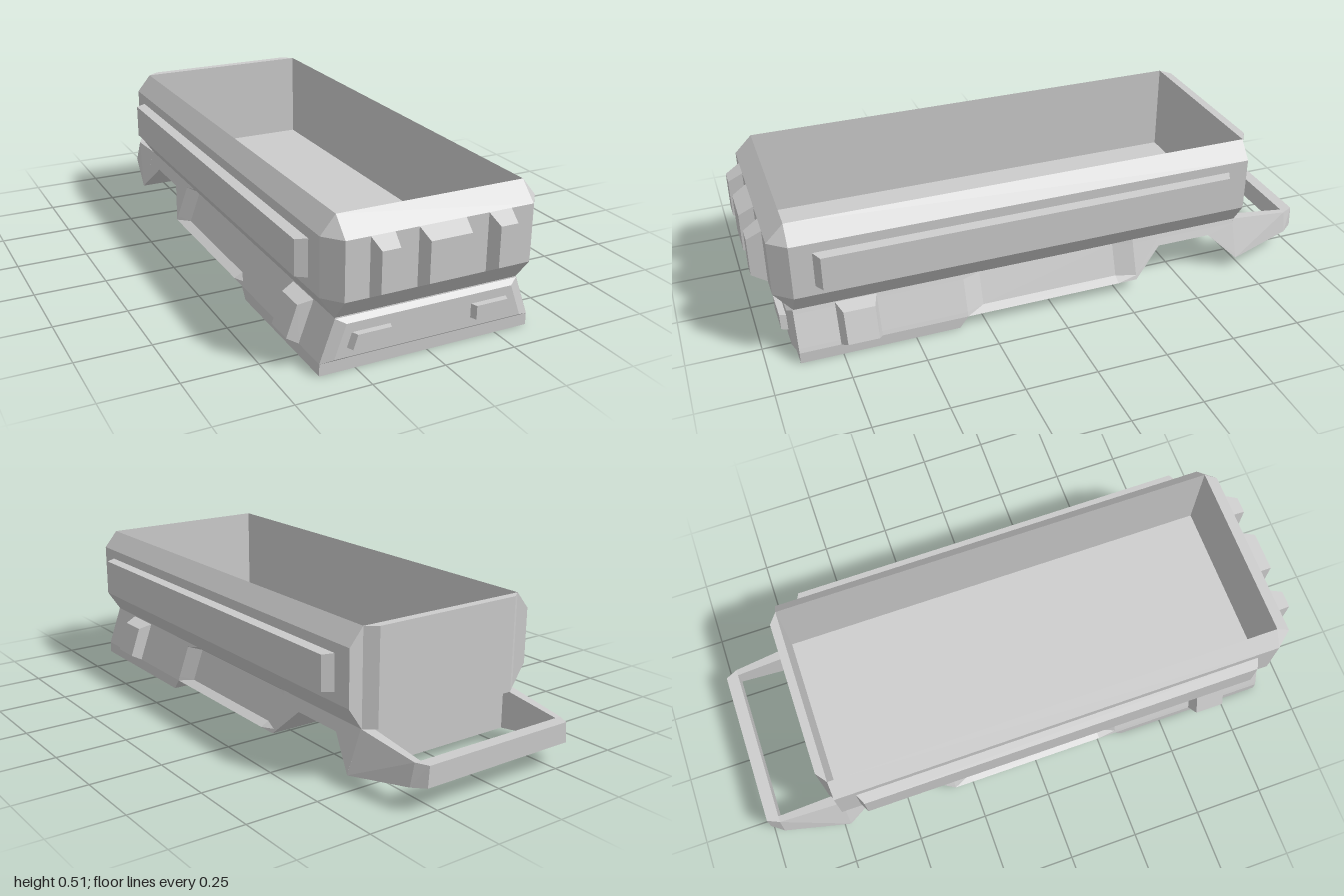
import * as THREE from 'three';

const material = new THREE.MeshStandardMaterial({ color: 0xcccccc, flatShading: true });

// Closed solid through a list of rings of [x, y, z] points, capped at both ends.
function loft(name, rings) {
  const tris = [];
  const n = rings[0].length;
  for (let r = 0; r < rings.length - 1; r++) {
    for (let i = 0; i < n; i++) {
      const j = (i + 1) % n;
      const a = rings[r][i], b = rings[r][j], c = rings[r + 1][j], d = rings[r + 1][i];
      tris.push([a, b, c], [a, c, d]);
    }
  }
  const first = rings[0], last = rings[rings.length - 1];
  for (let i = 1; i < n - 1; i++) {
    tris.push([first[0], first[i + 1], first[i]], [last[0], last[i], last[i + 1]]);
  }
  // Drop empty triangles and turn the solid outward by its signed volume
  let volume = 0;
  const kept = tris.map(t => t.map(p => new THREE.Vector3(...p))).filter(([a, b, c]) => {
    const cross = b.clone().sub(a).cross(c.clone().sub(a));
    volume += a.dot(cross);
    return cross.length() > 1e-7;
  });
  const points = kept.flatMap(([a, b, c]) => (volume > 0 ? [a, b, c] : [a, c, b]));
  const geometry = new THREE.BufferGeometry().setFromPoints(points);
  geometry.computeVertexNormals();
  const mesh = new THREE.Mesh(geometry, material);
  mesh.name = name;
  return mesh;
}

// Four corners facing the front (fixed z)
const frontRect = (x0, x1, y0, y1, z) => [[x0, y0, z], [x1, y0, z], [x1, y1, z], [x0, y1, z]];
// Four corners facing a side, x may differ at the lower and upper edge
const sideRect = (xLow, xHigh, y0, y1, z0, z1) =>
  [[xLow, y0, z0], [xLow, y0, z1], [xHigh, y1, z1], [xHigh, y1, z0]];

export function createModel() {
  const model = new THREE.Group();
  model.name = 'cargoBin';

  // Open bin: faceted outer walls, then straight down inside to the floor
  const binRing = (y, w, front) => [
    [w, y, -0.73], [w, y, 0.89], [0.32, y, front],
    [-0.32, y, front], [-w, y, 0.89], [-w, y, -0.73],
  ];
  model.add(loft('bin', [
    binRing(0.18, 0.32, 0.89),
    binRing(0.255, 0.37, 0.95),
    binRing(0.447, 0.37, 0.95),
    binRing(0.507, 0.32, 0.89),
    binRing(0.185, 0.32, 0.89),
  ]));

  // Tailgate with bevelled sides
  const gateRing = y => [[0.32, y, -0.73], [-0.32, y, -0.73], [-0.28, y, -0.76], [0.28, y, -0.76]];
  model.add(loft('tailgate', [gateRing(0.18), gateRing(0.507)]));

  // Raised blocks on the nose
  for (const [x, w] of [[-0.2, 0.04], [0, 0.08], [0.2, 0.04]]) {
    model.add(loft('noseBlock', [
      frontRect(x - w, x + w, 0.255, 0.447, 0.95),
      frontRect(x - w + 0.01, x + w - 0.01, 0.284, 0.418, 1),
    ]));
  }

  // Chassis: cross-sections along z as [z, underside height, side recess depth]
  const chassisRing = ([z, low, recess]) => {
    const half = [[0.37, 0], [0.37, 0.04], [0.365 - recess, 0.055], [0.325 - recess, 0.165], [0.32, 0.18]]
      .map(([x, y]) => {
        const cy = Math.max(y, low);
        const slope = 0.37 - Math.max(cy - 0.04, 0) * 0.357;
        return [cy > y ? slope : x, cy, z];
      });
    return [...half, ...half.map(([x, y]) => [-x, y, z]).reverse()];
  };
  model.add(loft('chassis', [
    [0.893, 0, 0], [0.345, 0, 0], [0.315, 0.04, 0], [0.25, 0.04, 0.025], [-0.25, 0.04, 0.025],
    [-0.32, 0.04, 0], [-0.42, 0.14, 0], [-0.62, 0.14, 0], [-0.725, 0.04, 0],
  ].map(chassisRing)));

  // Front plate
  model.add(loft('frontPlate', [
    [[-0.37, 0.04, 0.893], [0.37, 0.04, 0.893], [0.32, 0.178, 0.893], [-0.32, 0.178, 0.893]],
    [[-0.33, 0.053, 0.91], [0.33, 0.053, 0.91], [0.29, 0.163, 0.91], [-0.29, 0.163, 0.91]],
  ]));

  for (const s of [-1, 1]) {
    // Headlights with a slanted outer edge
    const lamp = (inner, outer, z) => [
      [s * inner, 0.085, z], [s * outer, 0.085, z],
      [s * (outer - 0.016), 0.132, z], [s * inner, 0.132, z],
    ];
    model.add(loft('headlight', [lamp(0.142, 0.289, 0.908), lamp(0.151, 0.279, 0.932)]));

    // Long rails on the bin walls
    model.add(loft('sideRail', [
      sideRect(s * 0.37, s * 0.37, 0.289, 0.413, -0.658, 0.818),
      sideRect(s * 0.407, s * 0.407, 0.292, 0.41, -0.64, 0.8),
    ]));

    // Small blocks on the chassis flanks
    model.add(loft('flankBlock', [
      sideRect(s * 0.37, s * 0.32, 0.04, 0.178, 0.615, 0.755),
      sideRect(s * 0.404, s * 0.367, 0.057, 0.162, 0.632, 0.738),
    ]));

    // Side arms of the rear bumper
    const arm = (low, high, y0, y1, z) => [
      [s * 0.283, y0, z], [s * low, y0, z], [s * high, y1, z], [s * 0.283, y1, z],
    ];
    model.add(loft('bumperArm', [
      arm(0.37, 0.32, 0.04, 0.18, -0.725),
      arm(0.322, 0.305, 0.076, 0.15, -0.957),
    ]));
  }

  // Rear bumper crossbar with clipped corners
  const barRing = (low, high, y0, y1, z) => [[-low, y0, z], [low, y0, z], [high, y1, z], [-high, y1, z]];
  model.add(loft('bumperBar', [
    barRing(0.322, 0.305, 0.076, 0.15, -0.957),
    barRing(0.29, 0.285, 0.08, 0.15, -1),
  ]));

  return model;
}
